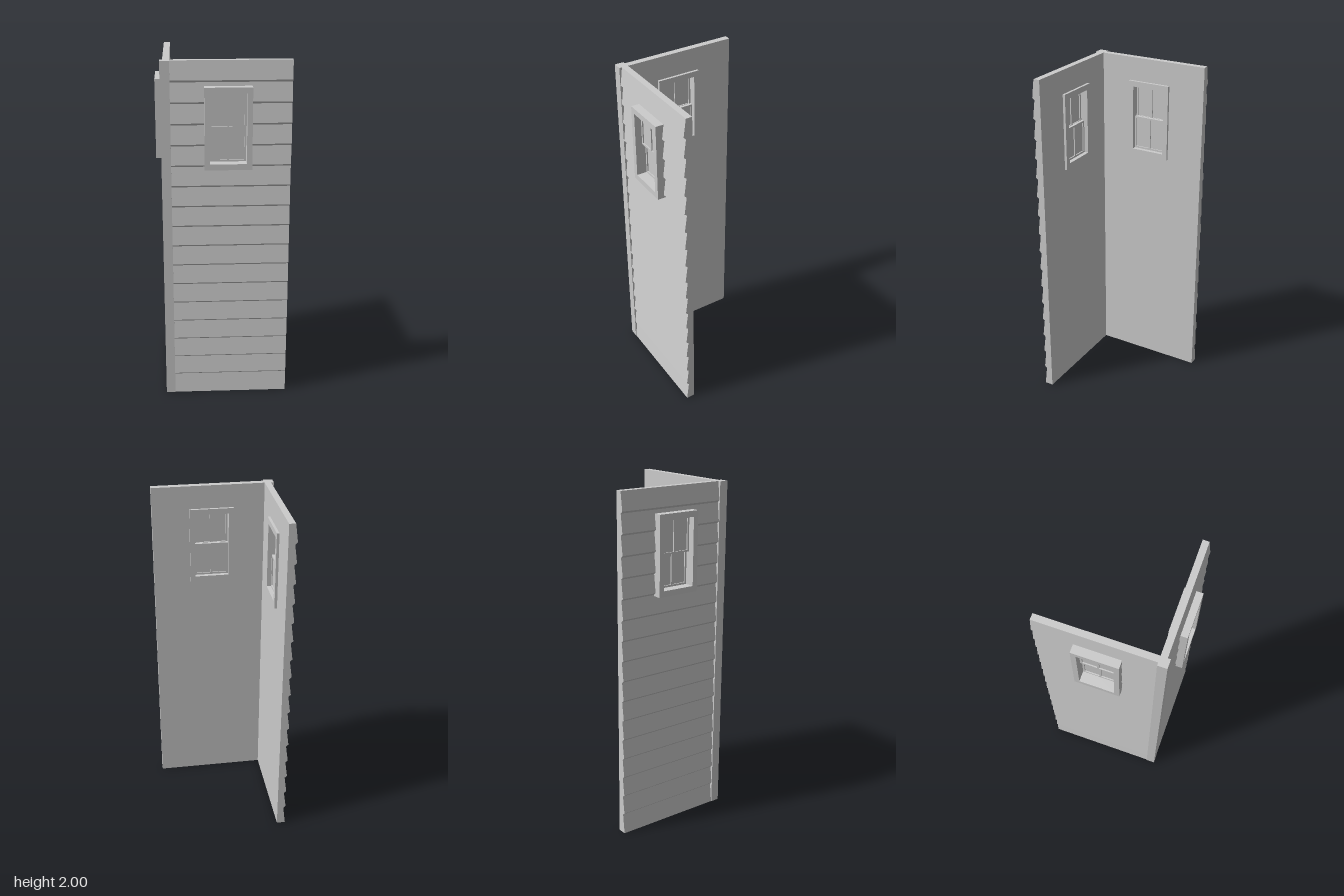
import * as THREE from 'three';

const material = new THREE.MeshStandardMaterial({ color: 0xcccccc, flatShading: true });

// Wall dimensions; each wall runs along local x and faces local +z
const HEIGHT = 2, ROWS = 17, ROW = HEIGHT / ROWS;
const INNER = 0.288, SHEATH = 0.325, OUTER = 0.339, LIP = 0.012;
const NEAR = -0.289, FAR = 0.376;
// Window dimensions
const WX = 0.026, WY = 1.633, W = 0.262, H = 0.457, OPEN_W = 0.202, OPEN_H = 0.39;

function add(group, name, geometry) {
  const mesh = new THREE.Mesh(geometry, material);
  mesh.name = name;
  group.add(mesh);
  return mesh;
}

function box(group, name, x0, x1, y0, y1, z0, z1) {
  const g = new THREE.BoxGeometry(x1 - x0, y1 - y0, z1 - z0);
  g.translate((x0 + x1) / 2, (y0 + y1) / 2, (z0 + z1) / 2);
  return add(group, name, g);
}

function rect(T, x0, x1, y0, y1) {
  return new T([[x0, y0], [x1, y0], [x1, y1], [x0, y1]].map(p => new THREE.Vector2(...p)));
}

// Rectangular panel with a list of rectangular openings
function panel(group, name, outer, holes, z0, z1) {
  const shape = rect(THREE.Shape, ...outer);
  for (const h of holes) shape.holes.push(rect(THREE.Path, ...h));
  const g = new THREE.ExtrudeGeometry(shape, { depth: z1 - z0, bevelEnabled: false });
  g.translate(0, 0, z0);
  return add(group, name, g);
}

// Clapboard: (z, y) profile extruded along x
function clapboard(group, x0, x1, profile) {
  const shape = new THREE.Shape(profile.map(p => new THREE.Vector2(...p)));
  const g = new THREE.ExtrudeGeometry(shape, { depth: x1 - x0, bevelEnabled: false });
  g.rotateY(-Math.PI / 2).translate(x1, 0, 0);
  add(group, 'clapboard', g);
}

// One sash: stiles and rails with a central muntin, plus its glass
function sash(group, name, cx, y0, y1, z0, z1, glassZ) {
  const s = new THREE.Group();
  s.name = name;
  const w = OPEN_W / 2, t = 0.011, m = 0.005;
  panel(s, 'sashFrame', [cx - w, cx + w, y0, y1], [
    [cx - w + t, cx - m, y0 + t, y1 - t],
    [cx + m, cx + w - t, y0 + t, y1 - t],
  ], z0, z1);
  box(s, 'glass', cx - w + 0.004, cx + w - 0.004, y0 + 0.004, y1 - 0.004, glassZ - 0.002, glassZ + 0.002);
  group.add(s);
}

function windowUnit(cx) {
  const g = new THREE.Group();
  g.name = 'window';
  const bottom = WY - OPEN_H / 2, top = WY + OPEN_H / 2;
  panel(g, 'windowFrame', [cx - W / 2, cx + W / 2, WY - H / 2, WY + H / 2],
    [[cx - OPEN_W / 2, cx + OPEN_W / 2, bottom, top]], 0.273, 0.376);
  sash(g, 'upperSash', cx, WY - 0.005, top, 0.318, 0.336, 0.327);
  sash(g, 'lowerSash', cx, bottom, WY + 0.005, 0.298, 0.316, 0.307);
  return g;
}

// side = 1 runs away from the corner toward +x, -1 toward -x
function wall(name, side) {
  const g = new THREE.Group();
  g.name = name;
  const [x0, x1] = side > 0 ? [NEAR, FAR] : [-FAR, -NEAR];
  const cx = side * WX;
  // Cut edges hide inside the window frame's thickness
  const hx = W / 2 - 0.015, h0 = WY - H / 2 + 0.015, h1 = WY + H / 2 - 0.015;
  panel(g, 'wallSheet', [x0, x1, 0, HEIGHT], [[cx - hx, cx + hx, h0, h1]], INNER, SHEATH);

  const back = SHEATH - 0.01;
  for (let i = 0; i < ROWS; i++) {
    const y0 = i * ROW, y1 = y0 + ROW, lip = i ? y0 + LIP : y0;
    const profile = [[back, y0], ...(i ? [[SHEATH, y0]] : []), [OUTER, lip], [SHEATH, y1], [back, y1]];
    if (y1 < h0 || y0 > h1) {
      clapboard(g, x0, x1, profile);
      continue;
    }
    clapboard(g, x0, cx - hx, profile);
    clapboard(g, cx + hx, x1, profile);
    // Remainder of the row above the window
    if (y1 > h1) {
      const z = OUTER + (SHEATH - OUTER) * (h1 - lip) / (y1 - lip);
      clapboard(g, cx - hx, cx + hx, [[back, h1], [z, h1], [SHEATH, y1], [back, y1]]);
    }
  }
  g.add(windowUnit(cx));
  return g;
}

export function createModel() {
  const model = new THREE.Group();
  model.name = 'wallCorner';
  model.add(wall('frontWall', 1));
  const sideWall = wall('sideWall', -1);
  sideWall.rotation.y = -Math.PI / 2;
  model.add(sideWall);
  // Corner board joining the two walls
  box(model, 'cornerPost', -0.342, NEAR, 0, HEIGHT, INNER, 0.341);
  return model;
}
